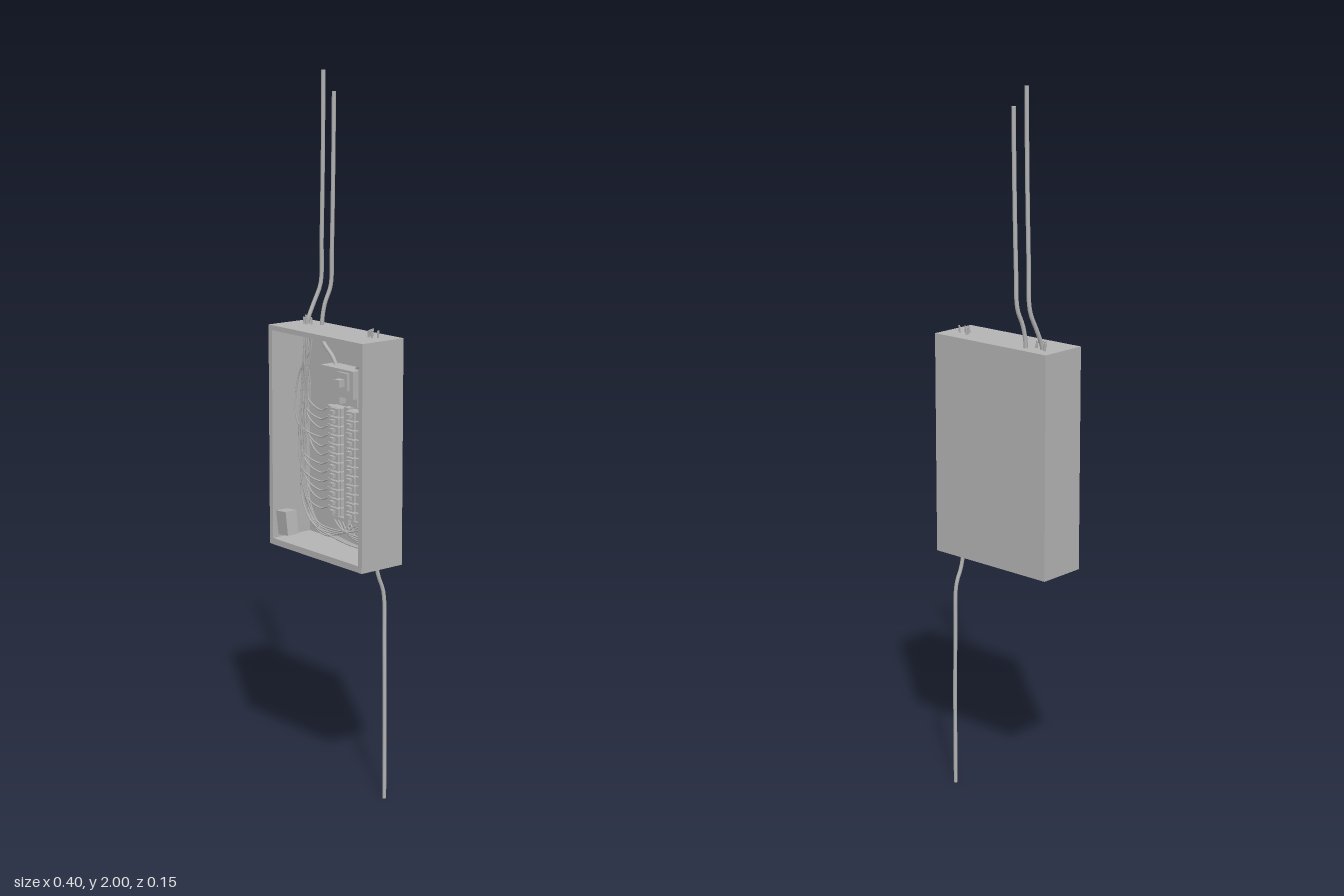
import * as THREE from 'three';

export function createModel() {
  const model = new THREE.Group();
  const grey = new THREE.MeshStandardMaterial({ color: 0xb4b4b4 });
  grey.name = 'panel grey';

  const add = (name, geometry, parent = model) => {
    const mesh = new THREE.Mesh(geometry, grey);
    mesh.name = name;
    parent.add(mesh);
    return mesh;
  };
  // Box given by its limits on each axis
  const block = (name, x0, x1, y0, y1, z0, z1, parent) => {
    const mesh = add(name, new THREE.BoxGeometry(x1 - x0, y1 - y0, z1 - z0), parent);
    mesh.position.set((x0 + x1) / 2, (y0 + y1) / 2, (z0 + z1) / 2);
    return mesh;
  };
  // Wire through points, closed by a disc at both ends
  const wire = (name, radius, points, parent, sides = 6) => {
    const curve = new THREE.CatmullRomCurve3(points.map(p => new THREE.Vector3(...p)), false, 'centripetal');
    add(name, new THREE.TubeGeometry(curve, points.length * 6, radius, sides), parent);
    for (const t of [0, 1]) {
      const cap = add(name + 'End', new THREE.CircleGeometry(radius, sides), parent);
      const p = curve.getPoint(t);
      cap.position.copy(p);
      cap.lookAt(p.clone().addScaledVector(curve.getTangent(t), t ? 1 : -1));
    }
  };
  const group = name => {
    const g = new THREE.Group();
    g.name = name;
    model.add(g);
    return g;
  };

  // Open-fronted cabinet
  const rect = (path, x, y0, y1) => path.moveTo(-x, y0).lineTo(x, y0).lineTo(x, y1).lineTo(-x, y1).closePath();
  const frame = rect(new THREE.Shape(), 0.2, 0.69, 1.312);
  frame.holes.push(rect(new THREE.Path(), 0.185, 0.708, 1.298));
  const walls = add('cabinetWalls', new THREE.ExtrudeGeometry(frame, { depth: 0.142, bevelEnabled: false }));
  walls.position.z = -0.076;
  block('cabinetBack', -0.185, 0.185, 0.708, 1.298, -0.076, -0.066);

  // Mounting plate, bus bar and neutral bar
  block('mountingPlate', -0.1, 0.115, 0.76, 1.18, -0.066, -0.058);
  block('busBar', 0.004, 0.021, 0.77, 1.1, -0.058, -0.035);
  block('neutralBar', -0.06, 0.09, 0.764, 0.782, -0.058, -0.045);

  // Main breaker with its switch
  const main = group('mainBreaker');
  block('mainBody', -0.062, 0.078, 1.135, 1.212, -0.058, -0.005, main);
  block('switchSeat', 0.02, 0.062, 1.157, 1.205, -0.005, 0.003, main);
  block('mainLever', 0.03, 0.052, 1.168, 1.188, 0.003, 0.022, main);
  for (const x of [-0.03, 0.045]) block('mainLug', x - 0.014, x + 0.014, 1.105, 1.135, -0.058, -0.035, main);

  // Two columns of branch breakers
  const rows = 12, pitch = 0.0255, mid = 0.0125;
  const rowY = i => 1.084 - i * pitch;
  const breakers = group('branchBreakers');
  for (const s of [-1, 1]) {
    for (let i = 0; i < rows; i++) {
      const y = rowY(i);
      const part = (name, a, b, h, z0, z1) =>
        block(name, mid + Math.min(s * a, s * b), mid + Math.max(s * a, s * b), y - h, y + h, z0, z1, breakers);
      part('breakerBody', 0.012, 0.07, 0.0112, -0.058, -0.027);
      part('breakerStep', 0.016, 0.052, 0.0105, -0.027, -0.02);
      part('breakerLever', 0.028, 0.044, 0.005, -0.02, -0.01);
      part('breakerTerminal', 0.07, 0.092, 0.0085, -0.058, -0.044);
    }
  }

  // Loose tilted box at the lower front corner
  const loose = add('looseBox', new THREE.BoxGeometry(0.05, 0.067, 0.035));
  loose.position.set(-0.137, 0.762, 0.053);
  loose.rotation.set(0.04, -0.1, 0.12);

  // Thick supply cables above and below
  const cables = group('supplyCables');
  wire('tallCable', 0.0058, [[-0.125, 2, -0.068], [-0.127, 1.8, -0.068], [-0.133, 1.55, -0.068], [-0.138, 1.42, -0.068],
    [-0.144, 1.37, -0.05], [-0.147, 1.32, -0.03], [-0.15, 1.25, -0.025]], cables, 8);
  wire('shortCable', 0.0058, [[-0.08, 1.945, -0.068], [-0.083, 1.75, -0.068], [-0.089, 1.52, -0.068], [-0.094, 1.42, -0.068],
    [-0.1, 1.37, -0.052], [-0.103, 1.32, -0.045], [-0.1, 1.27, -0.045], [-0.05, 1.23, -0.04], [-0.03, 1.2, -0.04]], cables, 8);
  wire('lowerCable', 0.0055, [[0.142, 0, -0.068], [0.142, 0.25, -0.068], [0.139, 0.45, -0.068], [0.136, 0.6, -0.066],
    [0.132, 0.65, -0.05], [0.13, 0.7, -0.044], [0.145, 0.78, -0.045], [0.165, 0.95, -0.045], [0.15, 1.15, -0.045],
    [0.135, 1.24, -0.04], [0.09, 1.25, -0.04], [0.05, 1.21, -0.04]], cables, 8);

  // Branch wires: enter from stubs on the roof, sweep down the side, turn in to a breaker
  const stubs = {
    '-1': [[-0.165, -0.04], [-0.147, -0.018], [-0.135, -0.016], [-0.124, -0.025], [-0.145, -0.03]],
    '1': [[0.122, -0.034], [0.132, -0.012], [0.141, -0.016], [0.155, -0.025], [0.124, -0.026]],
  };
  const wiring = group('branchWires');
  const r = 0.0024;
  for (const s of [-1, 1]) {
    const wall = s < 0 ? 0.18 : 0.168;
    for (let i = 0; i < rows; i++) {
      if (s > 0 && i % 3 === 2) continue;
      const [x, z] = stubs[s][i % 5];
      const y = rowY(i);
      const side = s * (wall - (i * 5 % 7) * 0.0045);
      const depth = -0.05 + (i * 3 % 5) * 0.008;
      wire('breakerWire', r, [[x + s * 0.003, 1.332, z], [x, 1.3, z], [x + s * 0.002, 1.25, z],
        [side, (1.25 + y) / 2 + 0.03, depth], [side, y + 0.02, depth],
        [mid + s * 0.125, y - 0.012, -0.045], [mid + s * 0.09, y, -0.044]], wiring);
    }
    // Long wires looping under the breakers to the neutral bar
    for (let i = 0; i < 5; i++) {
      const [x, z] = stubs[s][i];
      const side = s * (wall - i * 0.006);
      const low = 0.718 + i * 0.006;
      const endX = mid + s * (0.02 - i * 0.018);
      wire('neutralWire', r, [[x, 1.33, z], [x, 1.26, z], [side, 1.05, -0.04 + i * 0.006], [side, 0.86, -0.04 + i * 0.006],
        [s * (0.15 - i * 0.006), 0.765, -0.035], [s * 0.09, low + 0.008, -0.03], [endX + s * 0.03, low + 0.012, -0.035],
        [endX - s * 0.012, 0.772, -0.046]], wiring);
    }
  }
  // Wires crossing the floor from one side to the other
  for (let i = 0; i < 3; i++) {
    const z = -0.045 + i * 0.012;
    wire('floorWire', r, [[-0.178 + i * 0.008, 0.93, z], [-0.165, 0.82, z], [-0.12, 0.745 + i * 0.004, z], [-0.02, 0.722 + i * 0.003, z],
      [0.09, 0.716 + i * 0.003, z], [0.15, 0.735, z], [0.167 - i * 0.004, 0.82, z], [0.165 - i * 0.006, 1.0, z]], wiring);
  }
  return model;
}
